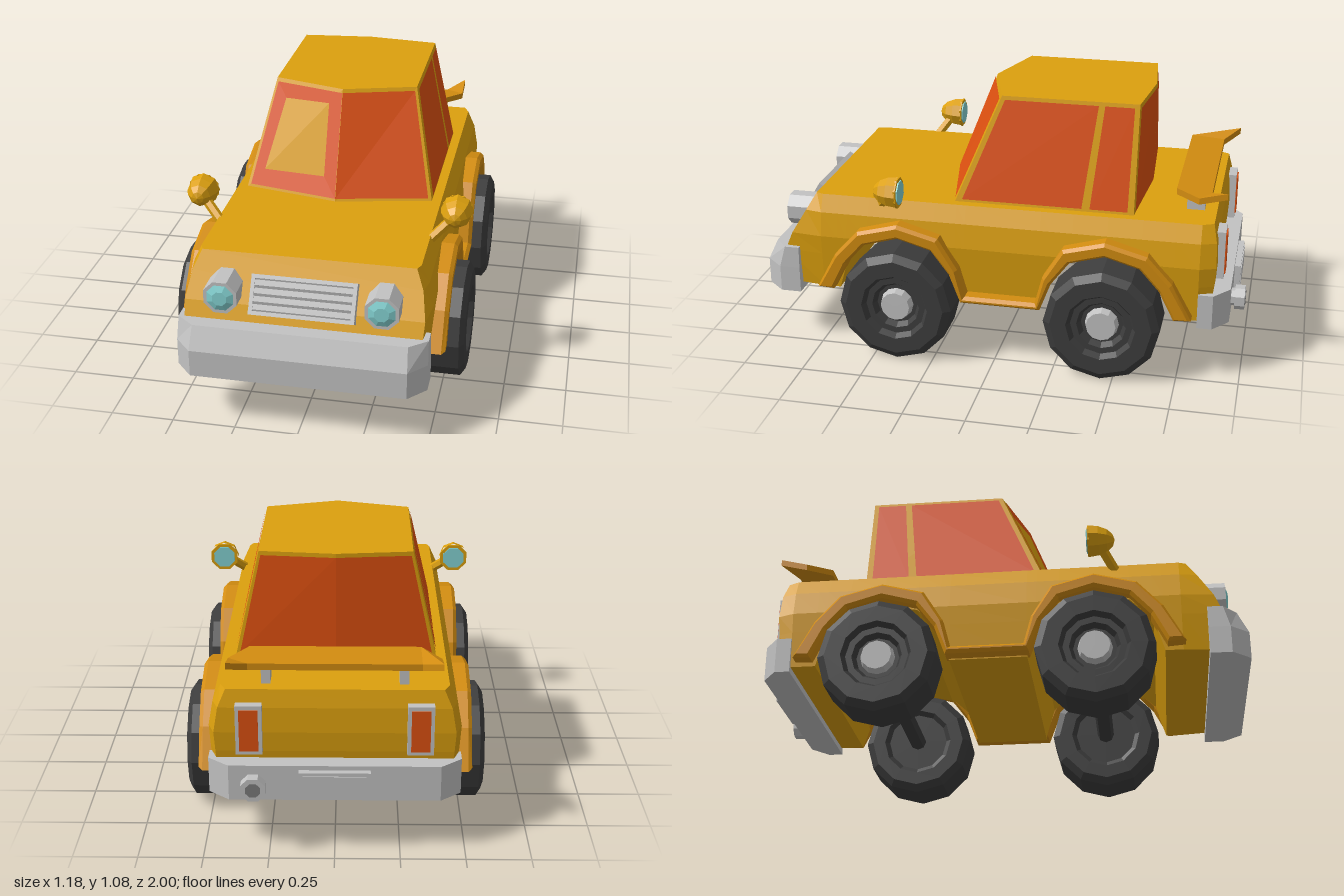
import * as THREE from 'three';

const material = (name, color) => Object.assign(new THREE.MeshStandardMaterial({ color }), { name });

// Faceted, non-indexed copy of a geometry; mirrored across x = 0 when asked
function faceted(source, mirrored) {
  const geo = source.index ? source.toNonIndexed() : source.clone();
  geo.deleteAttribute('uv');
  if (mirrored) {
    const p = geo.attributes.position, a = new THREE.Vector3(), b = new THREE.Vector3();
    for (let i = 0; i < p.count; i++) p.setX(i, -p.getX(i));
    for (let i = 0; i < p.count; i += 3) {
      a.fromBufferAttribute(p, i + 1); b.fromBufferAttribute(p, i + 2);
      p.setXYZ(i + 1, b.x, b.y, b.z); p.setXYZ(i + 2, a.x, a.y, a.z);
    }
  }
  geo.computeVertexNormals();
  return geo;
}

// Closed solid through matching rings of points
function loft(rings) {
  const n = rings[0].length, index = [], last = (rings.length - 1) * n;
  const quad = (a, b, c, d) => index.push(a, b, c, a, c, d);
  for (let i = 0; i < rings.length - 1; i++)
    for (let j = 0; j < n; j++) {
      const k = (j + 1) % n;
      quad(i * n + j, i * n + k, (i + 1) * n + k, (i + 1) * n + j);
    }
  for (let j = 0; j < n / 2 - 1; j++) {
    quad(n - 1 - j, n - 2 - j, j + 1, j);
    quad(last + j, last + j + 1, last + n - 2 - j, last + n - 1 - j);
  }
  const geo = new THREE.BufferGeometry();
  geo.setAttribute('position', new THREE.Float32BufferAttribute(rings.flat(2), 3));
  geo.setIndex(index);
  return geo;
}
const symmetric = half => [...half, ...half.slice().reverse().map(([x, y, z]) => [-x, y, z])];
const box = (w, h, d, x, y, z) => new THREE.BoxGeometry(w, h, d).translate(x, y, z);
const rod = (r, len, sides, x, y, z, r2 = r) =>
  new THREE.CylinderGeometry(r, r2, len, sides, 1, false, Math.PI / sides).rotateX(Math.PI / 2).translate(x, y, z);

export function createModel() {
  const car = new THREE.Group();
  car.name = 'car';
  const paint = material('body yellow', 0xdca00e), trim = material('trim amber', 0xd28c10);
  const glass = material('orange glass', 0xdd5010), chrome = material('light grey metal', 0xc2c2c2);
  const rubber = material('dark rubber', 0x3d3d3d), lens = material('pale cyan lens', 0x84d2d2);
  const shade = material('grille grey', 0x7c7c7c);

  const add = (name, geo, mat, mirrored = false) => {
    const mesh = new THREE.Mesh(faceted(geo, mirrored), mat);
    mesh.name = name;
    car.add(mesh);
  };
  const pair = (name, geo, mat) => {
    add(name + 'Left', geo, mat);
    add(name + 'Right', geo, mat, true);
  };

  // Body shell with wheel wells cut right across
  const wheels = [-0.45, 0.4];
  const widths = [[0.25, 0.465], [0.48, 0.48], [0.58, 0.462], [0.65, 0.43]];
  const halfWidth = y => {
    for (let i = 1; i < widths.length; i++) {
      const [y0, w0] = widths[i - 1], [y1, w1] = widths[i];
      if (y <= y1 || i === widths.length - 1) return w0 + (w1 - w0) * (y - y0) / (y1 - y0);
    }
  };
  const section = (z, floor = 0.25, k = 1) => {
    const levels = [floor, Math.max(0.4, floor + 0.005), Math.max(0.48, floor + 0.01), 0.58, 0.65];
    return symmetric(levels.map((y, i) => [halfWidth(y) * k, y, Array.isArray(z) ? z[i] : z]));
  };
  const well = [[-0.27, 0.25], [-0.23, 0.38], [-0.14, 0.47], [0, 0.5], [0.14, 0.47], [0.23, 0.38], [0.27, 0.25]];
  add('body', loft([
    section([-0.86, -0.88, -0.885, -0.88, -0.865], 0.25, 0.95),
    section(-0.82),
    ...wheels.flatMap(c => well.map(([dz, y]) => section(c + dz, y))),
    section(0.74),
    section([0.84, 0.905, 0.87, 0.81, 0.77], 0.25, 0.97),
  ]), paint);

  // Fender flares and sill in one band along each side
  const flareOut = [[0.35, 0.27], [0.27, 0.42], [0.17, 0.53], [0, 0.575], [-0.17, 0.53], [-0.25, 0.4], [-0.28, 0.285]];
  const flareIn = [[0.28, 0.265], [0.22, 0.385], [0.14, 0.475], [0, 0.515], [-0.14, 0.475], [-0.215, 0.375], [-0.26, 0.255]];
  const run = pts => [
    ...pts.map(([d, y]) => [0.4 + d, y]),
    ...pts.slice().reverse().map(([d, y]) => [-0.45 - d, y]),
  ];
  const outline = [...run(flareOut), ...run(flareIn).reverse()].map(([z, y]) => new THREE.Vector2(-z, y));
  pair('fender', new THREE.ExtrudeGeometry(new THREE.Shape(outline), {
    depth: 0.07, bevelEnabled: true, bevelThickness: 0.015, bevelSize: 0.012, bevelOffset: -0.012, bevelSegments: 1,
  }).rotateY(Math.PI / 2).translate(0.445, 0, 0), trim);

  // Cabin with creased windscreen and rear window
  const cabinRing = (y, w, front, corner, rearCorner, rear) =>
    [[0, y, front], [w, y, corner], [w, y, rearCorner], [0, y, rear], [-w, y, rearCorner], [-w, y, corner]];
  const base = cabinRing(0.645, 0.393, 0.268, 0.188, -0.545, -0.572);
  const roof = cabinRing(1.08, 0.295, 0.095, 0.01, -0.545, -0.575);
  add('cabin', loft([base, roof]), paint);

  // Window panes lie just proud of the cabin faces
  const pane = (name, face, u0, u1) => {
    const [bl, br, tr, tl] = [base[face], base[face + 1], roof[face + 1], roof[face]].map(p => new THREE.Vector3(...p));
    const normal = br.clone().sub(bl).cross(tl.clone().sub(bl)).normalize().multiplyScalar(0.004);
    const at = (u, v) => bl.clone().lerp(br, u).lerp(tl.clone().lerp(tr, u), v).add(normal);
    const corners = [at(u0, 0.035), at(u1, 0.035), at(u1, 0.965), at(u0, 0.965)];
    const geo = new THREE.BufferGeometry().setFromPoints(corners);
    geo.setIndex([0, 1, 2, 0, 2, 3]);
    pair(name, geo, glass);
  };
  pane('windscreen', 0, 0, 0.965);
  pane('doorWindow', 1, 0.035, 0.71);
  pane('quarterWindow', 1, 0.755, 0.965);
  pane('rearWindow', 2, 0.035, 1);

  // Bumpers
  const plan = (y, pts) => symmetric(pts.map(([x, z]) => [x, y, z]));
  add('frontBumper', loft([
    plan(0.22, [[0.42, 1], [0.488, 0.925], [0.488, 0.84]]),
    plan(0.33, [[0.42, 1], [0.488, 0.925], [0.488, 0.84]]),
    plan(0.42, [[0.415, 0.957], [0.485, 0.9], [0.485, 0.84]]),
  ]), chrome);
  const rearPlan = [[0.48, -0.82], [0.48, -0.88], [0.4, -0.943]];
  add('rearBumper', loft([plan(0.225, rearPlan), plan(0.37, rearPlan)]), chrome);
  add('plateFrame', box(0.27, 0.105, 0.03, 0, 0.3, -0.952), chrome);
  add('plate', box(0.24, 0.078, 0.006, 0, 0.3, -0.968), chrome);

  // Exhaust
  add('exhaustPipe', rod(0.036, 0.1, 8, 0.305, 0.295, -0.945), chrome);
  add('exhaustTip', rod(0.05, 0.04, 8, 0.305, 0.295, -0.978), chrome);
  add('exhaustOpening', rod(0.03, 0.006, 8, 0.305, 0.295, -0.998), shade);

  // Grille, leaning back with the nose
  const lean = geo => geo.rotateX(-0.545).translate(0, 0.52, 0.855);
  add('grilleBack', lean(box(0.4, 0.14, 0.04, 0, 0, 0)), shade);
  for (const s of [-1, 1]) {
    add('grilleSide', lean(box(0.015, 0.155, 0.06, s * 0.197, 0, 0)), chrome);
    add('grilleRail', lean(box(0.41, 0.015, 0.06, 0, s * 0.07, 0)), chrome);
  }
  for (let i = 0; i < 4; i++)
    add('grilleSlat', lean(box(0.38, 0.021, 0.054, 0, (i - 1.5) * 0.031, 0)), chrome);

  // Lights
  pair('headlightHousing', rod(0.07, 0.13, 8, 0.31, 0.53, 0.858), chrome);
  pair('headlightLens', rod(0.03, 0.01, 8, 0.31, 0.53, 0.928, 0.056), lens);
  pair('tailLightFrame', box(0.1, 0.2, 0.05, 0.322, 0.5, -0.885), chrome);
  pair('tailLight', box(0.072, 0.168, 0.006, 0.322, 0.5, -0.912), glass);

  // Door mirrors
  const dome = new THREE.SphereGeometry(0.066, 8, 4, 0, Math.PI * 2, 0, Math.PI / 2);
  pair('mirrorShell', dome.scale(1, 1.6, 1).rotateX(Math.PI / 2).translate(0.52, 0.72, 0.385), paint);
  pair('mirrorRim', rod(0.064, 0.008, 8, 0.52, 0.72, 0.386), paint);
  pair('mirrorGlass', rod(0.05, 0.006, 8, 0.52, 0.72, 0.38), lens);
  const stem = new THREE.LineCurve3(new THREE.Vector3(0.42, 0.625, 0.49), new THREE.Vector3(0.51, 0.705, 0.43));
  pair('mirrorStem', new THREE.TubeGeometry(stem, 1, 0.02, 6), paint);

  // Rear wing with swept tips on two posts
  const wing = (x, zf, yf, zr, yr) => [[x, yf - 0.013, zf], [x, yr - 0.013, zr], [x, yr + 0.013, zr], [x, yf + 0.013, zf]];
  add('spoiler', loft([
    wing(-0.4, -0.8, 0.735, -0.91, 0.763), wing(-0.325, -0.705, 0.742, -0.845, 0.732),
    wing(0.325, -0.705, 0.742, -0.845, 0.732), wing(0.4, -0.8, 0.735, -0.91, 0.763),
  ]), trim);
  pair('spoilerPost', box(0.035, 0.1, 0.072, 0.26, 0.69, -0.78), chrome);

  // Wheels and axles
  const profile = [[0, -0.09], [0.13, -0.09], [0.15, -0.105], [0.205, -0.105], [0.235, -0.085], [0.235, 0.085],
    [0.205, 0.105], [0.14, 0.105], [0.125, 0.08], [0.1, 0.08], [0.085, 0.055], [0, 0.055]];
  const tyre = new THREE.LatheGeometry(profile.map(p => new THREE.Vector2(...p)), 12).rotateZ(-Math.PI / 2);
  const hub = new THREE.CylinderGeometry(0.06, 0.07, 0.04, 12).rotateZ(-Math.PI / 2);
  wheels.forEach((z, i) => {
    const name = i ? 'front' : 'rear';
    pair(name + 'Tyre', tyre.clone().translate(0.485, 0.238, z), rubber);
    pair(name + 'Hub', hub.clone().translate(0.555, 0.238, z), chrome);
    add(name + 'Axle', new THREE.CylinderGeometry(0.036, 0.036, 0.8, 8).rotateZ(Math.PI / 2).translate(0, 0.238, z), rubber);
  });
  return car;
}
